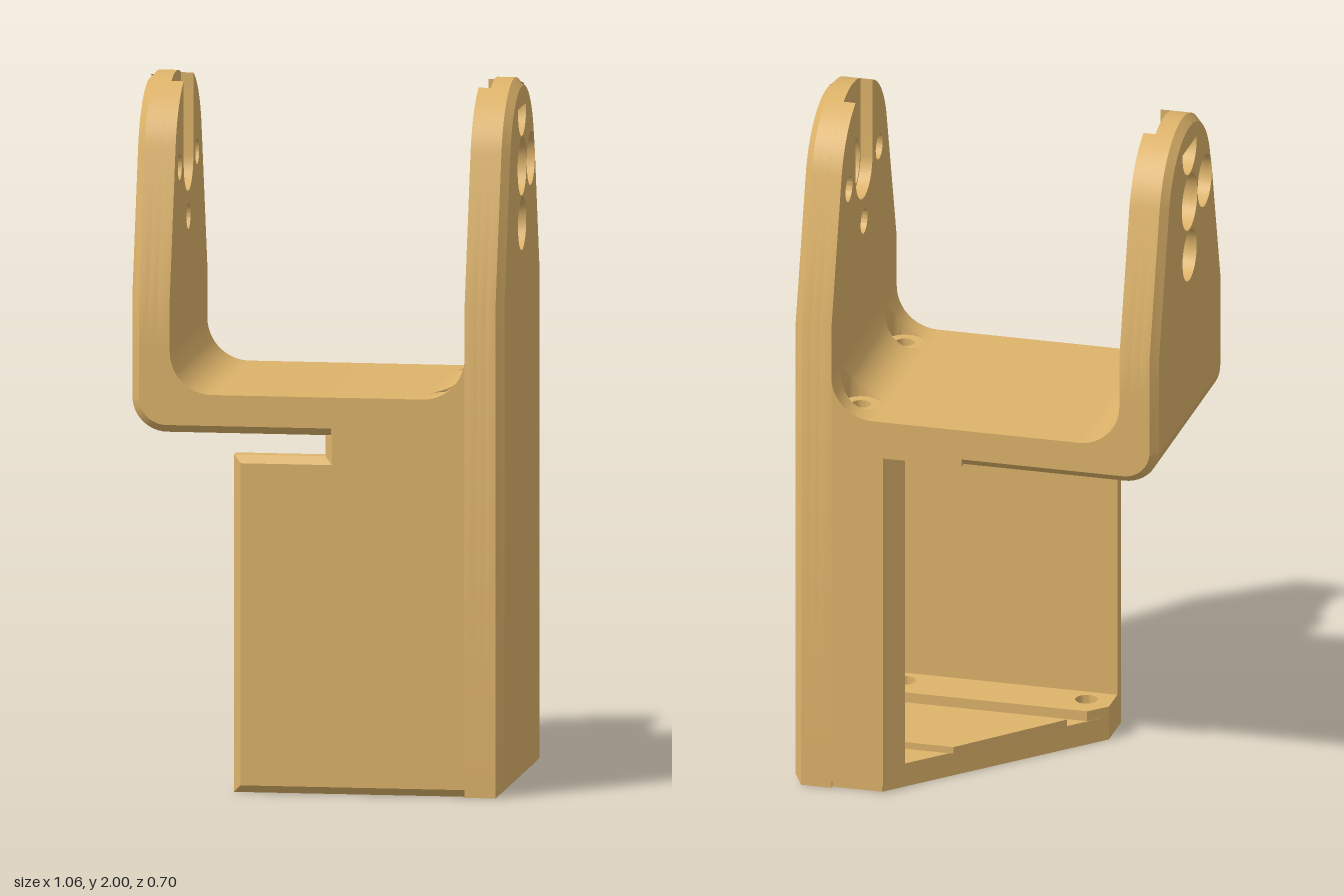
import * as THREE from 'three';
import { toCreasedNormals } from 'three/addons/utils/BufferGeometryUtils.js';

const material = new THREE.MeshStandardMaterial({ color: 0xddb36a });
const W = 0.35;        // half depth
const HUB = 1.75;      // height of the arm hub
const C = 0.022;       // chamfer

const v2 = (p) => new THREE.Vector2(p[0], p[1]);

function add(parent, name, geo) {
  const mesh = new THREE.Mesh(toCreasedNormals(geo, 0.5), material);
  mesh.name = name;
  parent.add(mesh);
  return mesh;
}

function arc(cx, cy, r, a0, a1, n = 12) {
  return Array.from({ length: n + 1 }, (_, i) => {
    const a = a0 + ((a1 - a0) * i) / n;
    return [cx + r * Math.cos(a), cy + r * Math.sin(a)];
  });
}

// Extruded outline with round holes [x, y, r]
function prism(outline, holes, depth) {
  const shape = new THREE.Shape(outline.map(v2));
  for (const [x, y, r] of holes) {
    shape.holes.push(new THREE.Path().absarc(x, y, r, 0, Math.PI * 2, true));
  }
  return new THREE.ExtrudeGeometry(shape, { depth, bevelEnabled: false, curveSegments: 20 });
}

// Plan outline in x, z raised from y0 to y1
function slab(plan, holes, y0, y1) {
  const geo = prism(plan.map(([x, z]) => [x, -z]), holes.map(([x, z, r]) => [x, -z, r]), y1 - y0);
  return geo.rotateX(-Math.PI / 2).translate(0, y0, 0);
}

// Joins counter-clockwise outlines {z, pts} stacked along z
function loft(rings, caps) {
  const pos = [];
  const n = rings[0].pts.length;
  const put = (ring, i) => pos.push(...ring.pts[i % n], ring.z);
  for (let k = 0; k + 1 < rings.length; k++) {
    const a = rings[k], b = rings[k + 1];
    for (let i = 0; i < n; i++) {
      put(a, i); put(a, i + 1); put(b, i + 1);
      put(a, i); put(b, i + 1); put(b, i);
    }
  }
  if (caps) {
    for (const [ring, flip] of [[rings[0], true], [rings[rings.length - 1], false]]) {
      for (const t of THREE.ShapeUtils.triangulateShape(ring.pts.map(v2), [])) {
        (flip ? [t[0], t[2], t[1]] : t).forEach((i) => put(ring, i));
      }
    }
  }
  const geo = new THREE.BufferGeometry();
  geo.setAttribute('position', new THREE.Float32BufferAttribute(pos, 3));
  geo.computeVertexNormals();
  return geo;
}

// Tapered arm outline with a round top, optionally notched by the hub groove
function armOutline(y0, inset, notch) {
  const hw = W - inset, r = 0.25 - inset, g = 0.09;
  const a = Math.acos(r / Math.hypot(hw, 0.35)) - Math.atan2(0.35, hw);
  const q = Math.acos(g / r);
  const top = notch
    ? [...arc(0, HUB, r, a, q), ...arc(0, HUB, g, 0, -Math.PI, 20), ...arc(0, HUB, r, Math.PI - q, Math.PI - a)]
    : arc(0, HUB, r, a, Math.PI - a, 36);
  return [[-hw, y0], [hw, y0], [hw, 1.4], ...top, [-hw, 1.4]];
}

// Arm on the +x side, layered from the inner face outwards
function makeArm(name, y0, chamferFoot) {
  const arm = new THREE.Group();
  arm.name = name;
  const spots = [[0, HUB + 0.162], [0, HUB - 0.162], [0.162, HUB], [-0.162, HUB]];
  const ring = (r) => spots.map(([x, y]) => [x, y, r]);
  const hub = [0, HUB, 0.083];
  const full = armOutline(y0, 0, false);
  const inset = armOutline(chamferFoot ? y0 + C : y0, C, false);
  const layer = (part, outline, holes, x0, x1) =>
    add(arm, part, prism(outline, holes, x1 - x0).translate(0, 0, x0).rotateY(Math.PI / 2));
  layer('groovedInnerFace', armOutline(y0, 0, true), ring(0.037).slice(1), 0.42, 0.455);
  layer('armCore', full, [hub, ...ring(0.037)], 0.455, 0.48);
  layer('counterboredLayer', full, [hub, ...ring(0.076)], 0.48, 0.53 - C);
  layer('outerFace', inset, [hub, ...ring(0.076)], 0.53 - C, 0.53);
  add(arm, 'armChamfer', loft([{ z: 0.53 - C, pts: full }, { z: 0.53, pts: inset }], false).rotateY(Math.PI / 2));
  return arm;
}

// Inner corner fillet cut by a screw-head scoop centred on z = zc
function scoopedFillet(zc) {
  const r = 0.057, n = 10, m = 24, cols = [];
  for (let j = 0; j <= m; j++) {
    const dz = -r * Math.cos((Math.PI * j) / m);
    const w = Math.sqrt(Math.max(0, r * r - dz * dz));
    const ta = Math.asin((0.065 - w) / 0.12);
    const tb = Math.asin(Math.min(1, (0.065 + w) / 0.12));
    const at = (t) => [0.3 + 0.12 * Math.sin(t), 1.25 - 0.12 * Math.cos(t), zc + dz];
    const low = (t) => [at(t)[0], 1.13, zc + dz];
    const col = [];
    for (let i = 0; i <= n; i++) col.push(at((ta * i) / n));
    col.push(low(ta), low(tb));
    for (let i = 0; i <= n; i++) col.push(at(tb + ((Math.PI / 2 - tb) * i) / n));
    cols.push(col);
  }
  const pos = [];
  for (let j = 0; j < m; j++) {
    for (let i = 0; i + 1 < cols[0].length; i++) {
      if (i === n + 1) continue; // the floor below stays visible
      const a = cols[j][i], b = cols[j + 1][i], c = cols[j + 1][i + 1], d = cols[j][i + 1];
      pos.push(...a, ...b, ...c, ...a, ...c, ...d);
    }
  }
  const geo = new THREE.BufferGeometry();
  geo.setAttribute('position', new THREE.Float32BufferAttribute(pos, 3));
  geo.computeVertexNormals();
  return geo;
}

export function createModel() {
  const model = new THREE.Group();
  model.name = 'bracket';

  // Arms: the left one runs down to the ground as a side wall
  model.add(makeArm('tallSidePlate', 0, true));
  const shortArm = makeArm('shortArm', 1.25, false);
  shortArm.rotation.y = Math.PI;
  model.add(shortArm);

  // Yoke floor with rounded outer corner and inner fillet
  const yoke = (i) => [
    [-0.53 + i, 1.25],
    ...arc(-0.43, 1.12, 0.1 - i, Math.PI, Math.PI * 1.5),
    [0.04, 1.02 + i], [0.04, 1.13],
    ...arc(-0.3, 1.25, 0.12, Math.PI * 1.5, Math.PI),
  ];
  add(model, 'yokeCorner', loft([
    { z: -W, pts: yoke(C) }, { z: -W + C, pts: yoke(0) },
    { z: W - C, pts: yoke(0) }, { z: W, pts: yoke(C) },
  ], true));
  const screws = [[0.365, 0.235], [0.365, -0.235]];
  add(model, 'yokeFloor', slab([[0.04, W], [0.42, W], [0.42, -W], [0.04, -W]],
    screws.map(([x, z]) => [x, z, 0.028]), 1.02, 1.13));

  // Fillet against the tall plate, with two screw-head scoops
  const fillet = [[0.42, 1.13], [0.42, 1.25], ...arc(0.3, 1.25, 0.12, 0, -Math.PI / 2)];
  for (const [z0, z1] of [[-W, -0.292], [-0.178, 0.178], [0.292, W]]) {
    add(model, 'yokeFillet', prism(fillet, [], z1 - z0).translate(0, 0, z0));
  }
  for (const [, z] of screws) add(model, 'screwScoop', scoopedFillet(z));

  // Front wall with chamfered slot under the yoke
  const wall = (i) => [
    [-0.24 + i, i], [0.42, i], [0.42, 1.02],
    [0.02 + i, 1.02], [0.02 + i, 0.96 - i], [-0.24 + i, 0.96 - i],
  ];
  add(model, 'frontWall', loft([
    { z: 0.29, pts: wall(0) }, { z: W - C, pts: wall(0) }, { z: W, pts: wall(C) },
  ], true));

  // Narrow back wall with an oblique edge
  add(model, 'backWall', slab([[0.42, -W], [0.27, -W], [0.22, -0.295], [0.42, -0.295]], [], 0.02, 1.02));

  // Base with a diagonal free edge and raised floor areas
  const feet = [...screws, [-0.165, 0.235]].map(([x, z]) => [x, z, 0.032]);
  add(model, 'basePlate', slab(
    [[0.42, 0.32], [0.42, -W + 0.01], [0.275, -W + 0.01], [-0.24, 0.2], [-0.24, 0.32]], feet, 0, 0.07));
  add(model, 'screwStrip', slab(
    [[0.42, 0.29], [0.42, 0.15], [-0.19, 0.15], [-0.24, 0.2], [-0.24, 0.29]], [feet[0], feet[2]], 0.07, 0.1));
  add(model, 'raisedFloor', slab(
    [[0.42, 0.1], [0.42, -0.18], [0.11, -0.18], [-0.145, 0.1]], [], 0.07, 0.09));

  return model;
}
